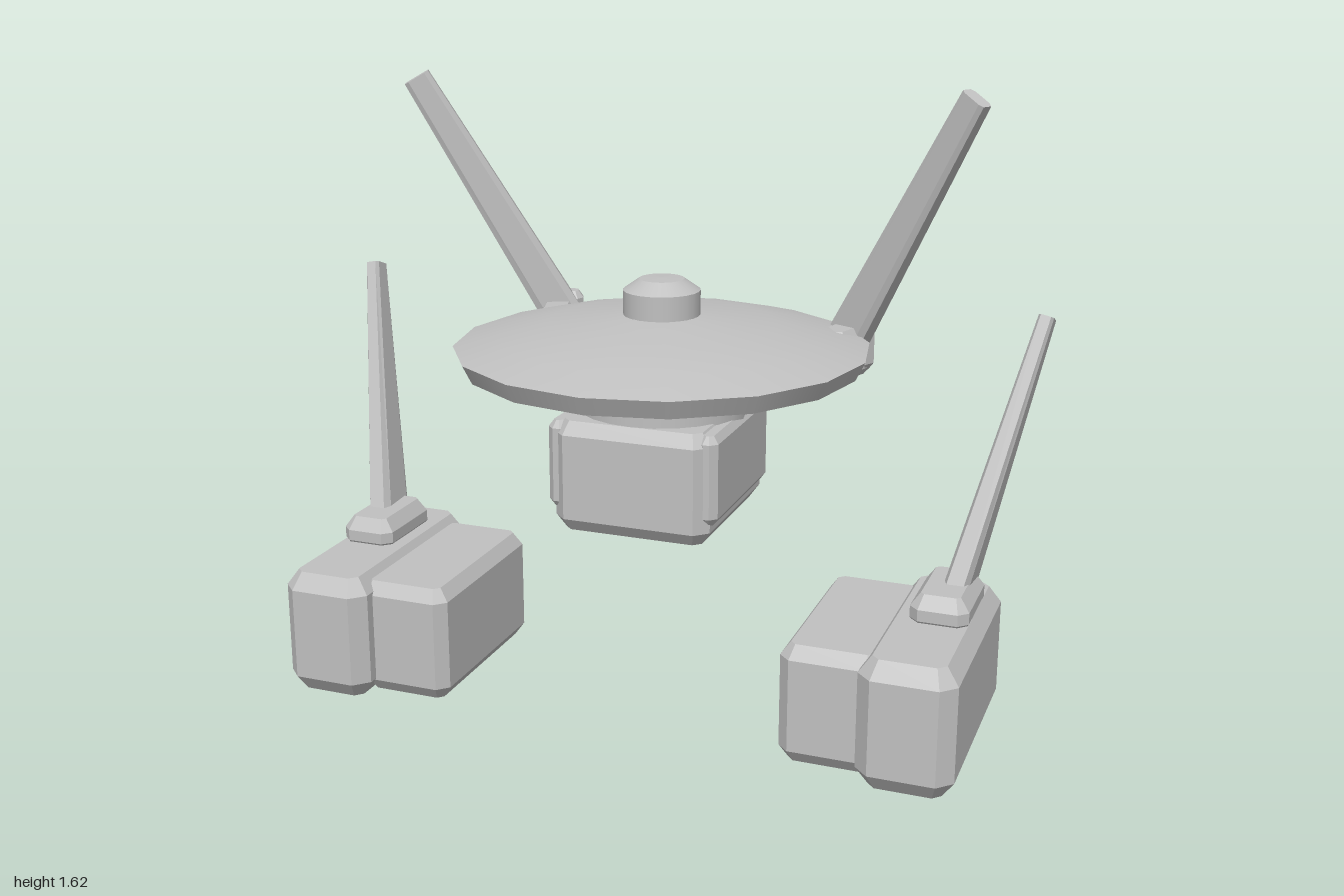
import * as THREE from 'three';

const V = (x, y, z) => new THREE.Vector3(x, y, z);

// Box with chamfered upright corners (c) and bevelled top and bottom (b)
function block(w, h, d, c, b) {
  const x = w / 2 - b * 0.7, z = d / 2 - b * 0.7;
  const shape = new THREE.Shape([
    [x - c, -z], [x, c - z], [x, z - c], [x - c, z],
    [c - x, z], [-x, z - c], [-x, c - z], [c - x, -z],
  ].map(([px, pz]) => new THREE.Vector2(px, pz)));
  const geo = new THREE.ExtrudeGeometry(shape, {
    depth: h - 2 * b, bevelEnabled: b > 0, bevelThickness: b, bevelSize: b * 0.7, bevelSegments: 1,
  });
  geo.translate(0, 0, b - h / 2);
  geo.rotateX(-Math.PI / 2);
  return geo;
}

// Tapered bar from p0 to p1; thin = thin axis, sizes are [thickness, width] at each end
function bar(p0, p1, thin, size0, size1) {
  const geo = block(1, 1, 1, 0.16, 0);
  const dir = p1.clone().sub(p0).normalize();
  const u = thin.clone().addScaledVector(dir, -thin.dot(dir)).normalize();
  const v = u.clone().cross(dir);
  const pos = geo.attributes.position;
  for (let i = 0; i < pos.count; i++) {
    const t = pos.getY(i) + 0.5;
    const p = p0.clone().lerp(p1, t)
      .addScaledVector(u, pos.getX(i) * THREE.MathUtils.lerp(size0[0], size1[0], t))
      .addScaledVector(v, pos.getZ(i) * THREE.MathUtils.lerp(size0[1], size1[1], t));
    pos.setXYZ(i, p.x, p.y, p.z);
  }
  geo.computeVertexNormals();
  return geo;
}

export function createModel() {
  const model = new THREE.Group();
  const grey = new THREE.MeshStandardMaterial({ color: 0xc0c0c0 });
  grey.name = 'grey';

  const add = (name, geo, parent = model) => {
    const mesh = new THREE.Mesh(geo, grey);
    mesh.name = name;
    parent.add(mesh);
    return mesh;
  };
  const lathe = (name, points, sides, parent) =>
    add(name, new THREE.LatheGeometry(points.map(([x, y]) => new THREE.Vector2(x, y)), sides), parent);
  const box = (name, x0, x1, y0, y1, z0, z1, c, b, parent = model) =>
    add(name, block(Math.abs(x1 - x0), y1 - y0, z1 - z0, c, b), parent)
      .position.set((x0 + x1) / 2, (y0 + y1) / 2, (z0 + z1) / 2);

  // Saucer, in separate bands so the rim stays crisp
  const saucer = new THREE.Group();
  saucer.name = 'saucer';
  model.add(saucer);
  lathe('saucerUnderside', [[0, 0.84], [0.24, 0.84], [0.53, 0.89]], 16, saucer);
  lathe('saucerRim', [[0.53, 0.89], [0.555, 0.94]], 16, saucer);
  lathe('saucerTop', [[0.555, 0.94], [0.44, 0.972], [0.31, 1.0], [0.1, 1.025], [0, 1.03]], 16, saucer);

  // Knob on top
  lathe('knobSide', [[0.103, 1.01], [0.103, 1.09]], 24);
  lathe('knobBevel', [[0.103, 1.09], [0.06, 1.12]], 24);
  lathe('knobCap', [[0.06, 1.12], [0, 1.122]], 24);

  // Neck and hanging body with thin cover panels
  lathe('neck', [[0.23, 0.72], [0.23, 0.85]], 24);
  box('body', -0.215, 0.215, 0.475, 0.775, -0.235, 0.255, 0.02, 0.035);
  box('backPanel', -0.19, 0.19, 0.5, 0.765, -0.255, -0.2, 0.01, 0.02);
  for (const s of [1, -1])
    box('sidePanel', s * 0.18, s * 0.235, 0.53, 0.77, -0.21, 0.235, 0.01, 0.02);

  for (const s of [1, -1]) {
    const side = s > 0 ? 'left' : 'right';

    // Foot: two blocks side by side and an ankle plate
    const foot = new THREE.Group();
    foot.name = side + 'Foot';
    model.add(foot);
    box('outerFootBlock', s * 0.67, s * 0.915, 0, 0.34, -0.15, 0.485, 0.02, 0.045, foot);
    box('innerFootBlock', s * 0.46, s * 0.72, 0.005, 0.32, -0.105, 0.42, 0.015, 0.035, foot);
    box('anklePlate', s * 0.735, s * 0.885, 0.31, 0.41, -0.04, 0.21, 0.01, 0.035, foot);

    // Lower leg
    add(side + 'LowerLeg', bar(V(s * 0.825, 0.36, 0.042), V(s * 0.977, 1.05, -0.208),
      V(1, 0, 0), [0.065, 0.15], [0.04, 0.065]));

    // Upper strut, leaning out and forward
    add(side + 'Strut', bar(V(s * 0.415, 0.9, -0.318), V(s * 0.782, 1.605, -0.138),
      V(-s * 0.18, 0, 0.367), [0.06, 0.115], [0.045, 0.075]));

    // Hinge joining strut and saucer
    const hinge = new THREE.Group();
    hinge.name = side + 'Hinge';
    model.add(hinge);
    const bracket = add('hingeBracket', block(0.09, 0.14, 0.17, 0.012, 0.02), hinge);
    bracket.position.set(s * 0.425, 0.893, -0.277);
    bracket.rotation.y = -s * 0.35 + s * 0.7;
    bracket.rotation.y = -s * 0.3;
    const clevis = add('hingeClevis', block(0.12, 0.15, 0.07, 0.01, 0.02), hinge);
    clevis.position.set(s * 0.437, 0.91, -0.338);
    clevis.rotation.y = -s * 0.45;
  }
  return model;
}
